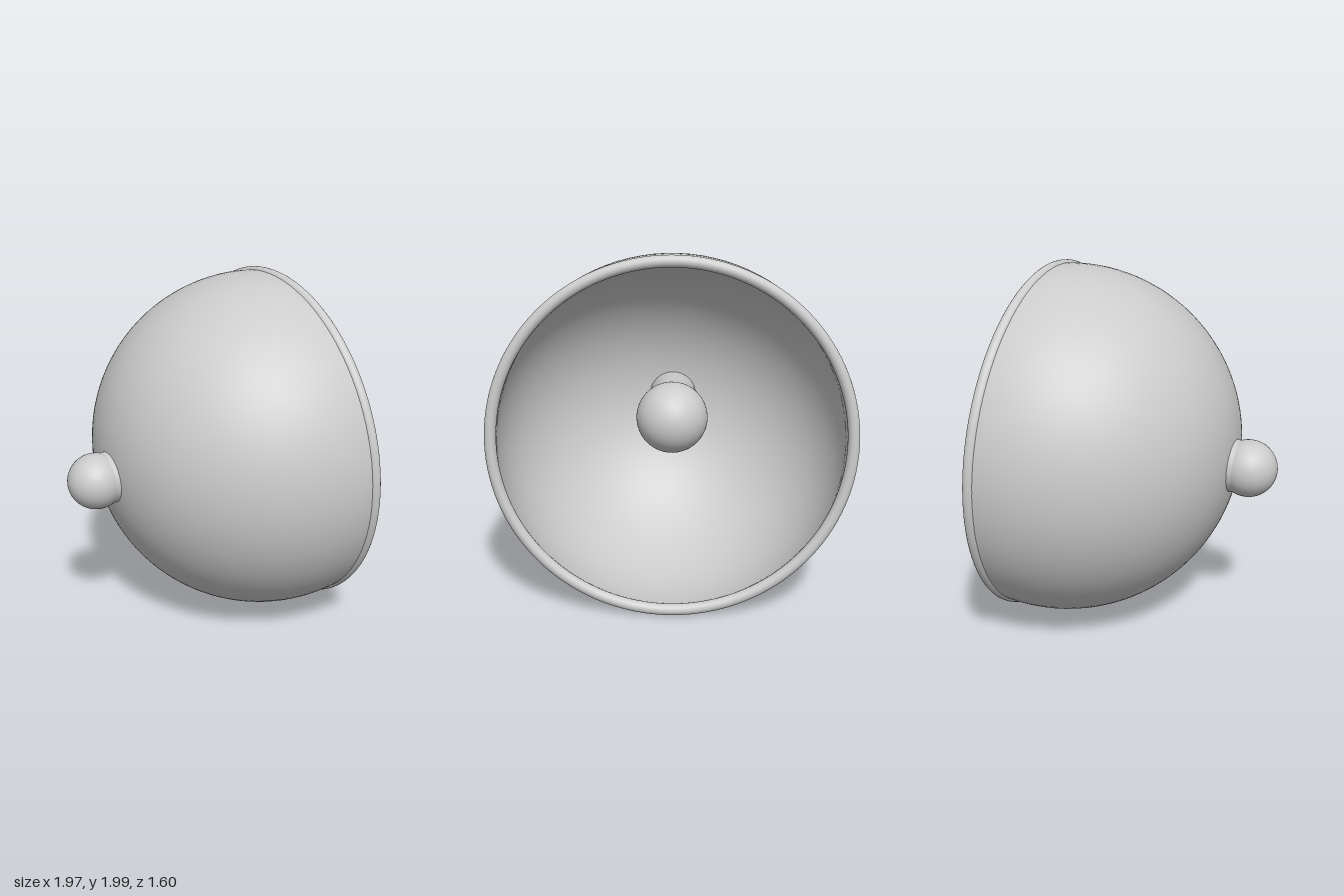
import * as THREE from 'three';

const OUTER = 0.985, INNER = 0.945; // shell radii
const RIM_HEIGHT = 0.117;           // rim plane along the bell axis

// Arc from the pole (bottom) up to the rim plane
function bowlProfile(radius, steps = 40) {
  const end = Math.asin(RIM_HEIGHT / radius);
  const points = [];
  for (let i = 0; i <= steps; i++) {
    const a = -Math.PI / 2 + (end + Math.PI / 2) * i / steps;
    points.push(new THREE.Vector2(i ? radius * Math.cos(a) : 0, radius * Math.sin(a)));
  }
  return points;
}

export function createModel() {
  const group = new THREE.Group();
  group.name = 'bell';
  const grey = new THREE.MeshStandardMaterial({ color: 0xcccccc });
  const sheet = new THREE.MeshStandardMaterial({ color: 0xcccccc, side: THREE.DoubleSide });

  const add = (name, geometry, y = 0, material = grey) => {
    const mesh = new THREE.Mesh(geometry, material);
    mesh.name = name;
    mesh.position.y = y;
    group.add(mesh);
    return mesh;
  };

  // Bowl: outer skin and inner skin, edges buried in the rolled rim
  add('bowlOutside', new THREE.LatheGeometry(bowlProfile(OUTER), 96), 0, sheet);
  add('bowlInside', new THREE.LatheGeometry(bowlProfile(INNER).reverse(), 96), 0, sheet);

  // Rolled rim
  const rim = new THREE.TorusGeometry(0.963, 0.032, 20, 128);
  rim.rotateX(Math.PI / 2);
  add('rim', rim, RIM_HEIGHT);

  // Knob outside, rod through the bowl, ball inside
  add('knob', new THREE.SphereGeometry(0.157, 40, 28), -1.06);
  add('rod', new THREE.CylinderGeometry(0.145, 0.145, 0.64, 40), -0.72);
  add('clapperBall', new THREE.SphereGeometry(0.206, 48, 32), -0.4);

  // Tip the bell so its mouth faces backward and slightly to its left
  const mouth = new THREE.Vector3(0.293, 0.054, -0.955).normalize();
  group.quaternion.setFromUnitVectors(new THREE.Vector3(0, 1, 0), mouth);
  group.position.set(0, 0.997, -0.37);

  const model = new THREE.Group();
  model.add(group);
  return model;
}
